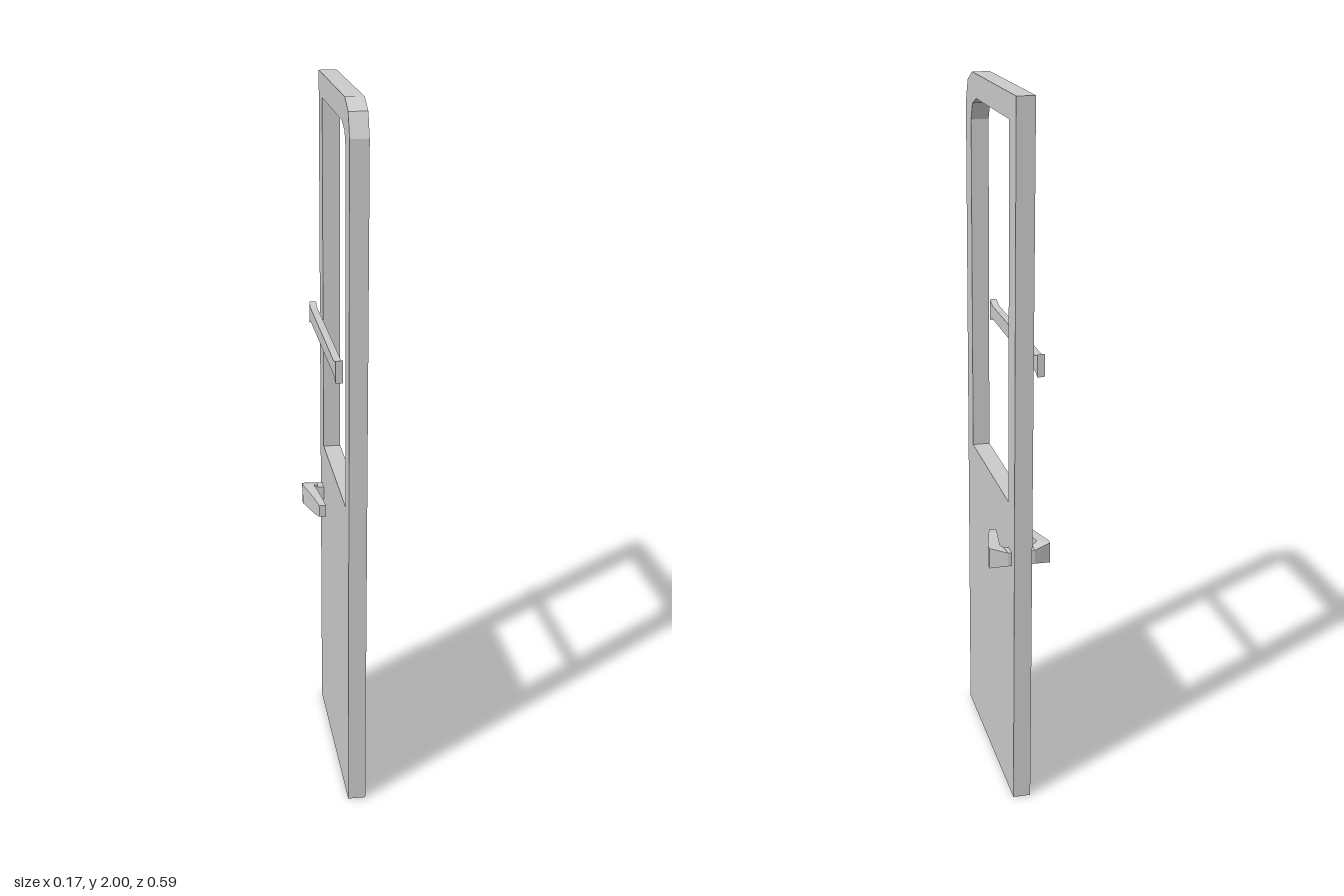
import * as THREE from 'three';

const material = new THREE.MeshStandardMaterial({ color: 0xcccccc, flatShading: true });
const points = (list) => list.map(([a, b]) => new THREE.Vector2(a, b));

// Extrude a (z, y) outline across x, from x0 to x1
function slab(name, outline, x0, x1, hole) {
  const shape = new THREE.Shape(points(outline));
  if (hole) shape.holes.push(new THREE.Path(points(hole)));
  const geometry = new THREE.ExtrudeGeometry(shape, { depth: x1 - x0, bevelEnabled: false });
  geometry.rotateY(-Math.PI / 2).translate(x1, 0, 0);
  const mesh = new THREE.Mesh(geometry, material);
  mesh.name = name;
  return mesh;
}

// Lever handle lofted through rectangular sections: inner x, z, outer x, z, half height
function leverGeometry(y) {
  const sections = [
    [0.02, -0.228, 0.02, -0.265, 0.02],
    [0.04, -0.228, 0.038, -0.265, 0.02],
    [0.053, -0.228, 0.086, -0.246, 0.03],
    [0.052, -0.222, 0.086, -0.228, 0.03],
    [0.039, -0.135, 0.063, -0.135, 0.025],
    [0.033, -0.095, 0.053, -0.095, 0.018],
  ];
  const position = [];
  const index = [];
  for (const [xi, zi, xo, zo, h] of sections) {
    position.push(xi, y - h, zi, xo, y - h, zo, xo, y + h, zo, xi, y + h, zi);
  }
  const quad = (a, b, c, d) => index.push(a, b, c, a, c, d);
  for (let s = 0; s < sections.length - 1; s++) {
    for (let k = 0; k < 4; k++) {
      const a = s * 4 + k;
      const b = s * 4 + ((k + 1) % 4);
      quad(a, b, b + 4, a + 4);
    }
  }
  const last = (sections.length - 1) * 4;
  quad(3, 2, 1, 0);
  quad(last, last + 1, last + 2, last + 3);
  const geometry = new THREE.BufferGeometry();
  geometry.setAttribute('position', new THREE.Float32BufferAttribute(position, 3));
  geometry.setIndex(index);
  const flat = geometry.toNonIndexed();
  flat.computeVertexNormals();
  return flat;
}

export function createModel() {
  const group = new THREE.Group();
  group.name = 'door';

  // Door leaf with a chamfered front top corner and a window opening
  group.add(slab(
    'doorPanel',
    [[-0.297, 0], [0.295, 0], [0.295, 1.91], [0.27, 1.973], [0.212, 2], [-0.297, 2]],
    -0.022, 0.028,
    [[-0.225, 0.9], [-0.225, 1.934], [0.158, 1.934], [0.208, 1.916], [0.228, 1.868], [0.228, 0.9]],
  ));

  // Push bar across the window, flared at both ends
  group.add(slab(
    'pushBar',
    [[-0.285, 1.272], [-0.26, 1.283], [0.24, 1.285], [0.275, 1.273],
      [0.275, 1.335], [0.24, 1.324], [-0.26, 1.324], [-0.285, 1.335]],
    -0.055, -0.035,
  ));

  // Matching lever handles on both faces
  const lever = leverGeometry(0.745);
  for (const side of [1, -1]) {
    const handle = new THREE.Mesh(lever, material);
    handle.name = side > 0 ? 'leftHandle' : 'rightHandle';
    handle.scale.x = side;
    group.add(handle);
  }
  return group;
}
